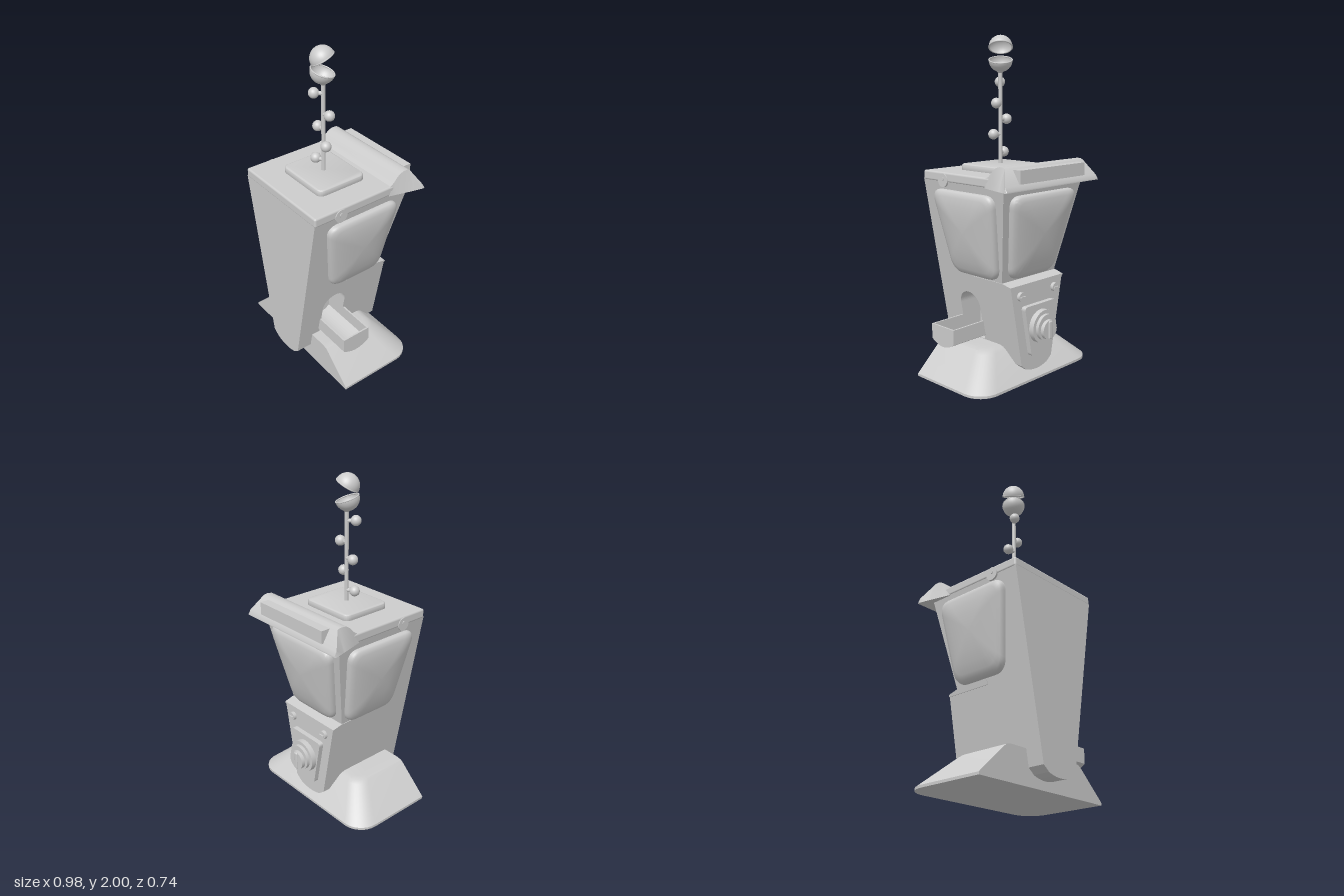
import * as THREE from 'three';
import { toCreasedNormals } from 'three/addons/utils/BufferGeometryUtils.js';
import { RoundedBoxGeometry } from 'three/addons/geometries/RoundedBoxGeometry.js';

const mat = new THREE.MeshStandardMaterial({ color: 0xcccccc });
const thin = new THREE.MeshStandardMaterial({ color: 0xcccccc, side: THREE.DoubleSide });
const V = (x, y, z) => new THREE.Vector3(x, y, z);

// Half width of the tapered body, and its sloping rear face, at height y
const halfW = y => 0.13 + (y - 0.1) * 0.189;
const rearZ = y => -0.17 - (y - 0.58) * 0.207;

// Skin closed rings of points, cap both ends, and face outward
function loft(rings, crease = 0.5) {
  const n = rings[0].length, pos = [], idx = [];
  rings.forEach(r => r.forEach(p => pos.push(p.x, p.y, p.z)));
  for (let i = 0; i < rings.length - 1; i++)
    for (let j = 0; j < n; j++) {
      const a = i * n + j, b = i * n + (j + 1) % n;
      idx.push(a, b, b + n, a, b + n, a + n);
    }
  const last = (rings.length - 1) * n;
  for (let j = 1; j < n - 1; j++) idx.push(0, j + 1, j, last, last + j, last + j + 1);
  let vol = 0;
  const p = i => V(pos[3 * i], pos[3 * i + 1], pos[3 * i + 2]);
  for (let i = 0; i < idx.length; i += 3) vol += p(idx[i]).dot(p(idx[i + 1]).cross(p(idx[i + 2])));
  if (vol < 0) idx.reverse();
  const g = new THREE.BufferGeometry();
  g.setAttribute('position', new THREE.Float32BufferAttribute(pos, 3));
  g.setIndex(idx);
  g.computeVertexNormals();
  return toCreasedNormals(g, crease);
}

// Polygon with rounded corners
function roundedPoly(pts, r) {
  const s = new THREE.Shape(), P = pts.map(p => new THREE.Vector2(...p));
  P.forEach((c, i) => {
    const a = P[(i + P.length - 1) % P.length], b = P[(i + 1) % P.length];
    const s0 = c.clone().add(a.clone().sub(c).setLength(r));
    const s1 = c.clone().add(b.clone().sub(c).setLength(r));
    i ? s.lineTo(s0.x, s0.y) : s.moveTo(s0.x, s0.y);
    s.quadraticCurveTo(c.x, c.y, s1.x, s1.y);
  });
  s.closePath();
  return s;
}

export function createModel() {
  const model = new THREE.Group();
  const add = (name, geo, x = 0, y = 0, z = 0, m = mat) => {
    const mesh = new THREE.Mesh(geo, m);
    mesh.name = name;
    mesh.position.set(x, y, z);
    model.add(mesh);
    return mesh;
  };
  const box = (name, w, h, d, x, y, z) => add(name, new THREE.BoxGeometry(w, h, d), x, y, z);
  const poly = pts => new THREE.Shape(pts.map(p => new THREE.Vector2(...p)));

  // Flared foot with rounded rear corners
  const footRing = ([y, hw, zb, r]) => {
    const half = [V(hw, y, 0.27)];
    for (let i = 0; i <= 8; i++) {
      const a = i / 8 * Math.PI / 2;
      half.push(V(hw - r + r * Math.cos(a), y, zb + r - r * Math.sin(a)));
    }
    return [...half, ...half.slice().reverse().map(p => V(-p.x, y, p.z))];
  };
  add('foot', loft([[0, 0.49, -0.27, 0.13], [0.015, 0.49, -0.27, 0.13], [0.175, 0.315, -0.125, 0.09],
    [0.19, 0.295, -0.105, 0.08], [0.197, 0.265, -0.08, 0.07]].map(footRing), 0.4));

  // Arched chute opening
  const arch = (Path, hw, top) => {
    const p = new Path();
    p.moveTo(0.13 - hw, 0.2).lineTo(0.13 + hw, 0.2).lineTo(0.13 + hw, top - hw);
    p.absarc(0.13, top - hw, hw, 0, Math.PI, false);
    p.lineTo(0.13 - hw, 0.2);
    return p;
  };

  // Body side walls, leaning with the taper
  const profile = [[0.37, 0.1], [0.37, 1.17], [-0.292, 1.17], [-0.17, 0.58], [-0.24, 0.58], [-0.24, 0.1]];
  for (const s of [1, -1]) {
    const shape = poly(profile);
    if (s > 0) shape.holes.push(arch(THREE.Path, 0.085, 0.49));
    const g = new THREE.ShapeGeometry(shape, 16), p = g.attributes.position;
    for (let i = 0; i < p.count; i++) p.setXYZ(i, s * halfW(p.getY(i)), p.getY(i), p.getX(i));
    if (s > 0) g.setIndex([...g.index.array].reverse());
    g.computeVertexNormals();
    add(s > 0 ? 'leftWall' : 'rightWall', g, 0, 0, 0, thin);
  }

  // Front and rear walls: flat strips between two heights
  const wall = (name, y0, z0, y1, z1, front) => {
    const a = halfW(y0), b = halfW(y1), g = new THREE.BufferGeometry();
    g.setAttribute('position', new THREE.Float32BufferAttribute([-a, y0, z0, a, y0, z0, b, y1, z1, -b, y1, z1], 3));
    g.setIndex(front ? [0, 1, 2, 0, 2, 3] : [2, 1, 0, 3, 2, 0]);
    g.computeVertexNormals();
    add(name, g, 0, 0, 0, thin);
  };
  wall('frontWall', 0.1, 0.37, 1.17, 0.37, true);
  wall('rearLowerWall', 0.1, -0.24, 0.58, -0.24, false);
  wall('rearUpperWall', 0.58, -0.17, 1.17, rearZ(1.17), false);
  const keel = new THREE.Shape();
  keel.moveTo(0.13, 0.1).lineTo(-0.13, 0.1).lineTo(-0.09, 0.068);
  keel.quadraticCurveTo(0, 0.034, 0.09, 0.068);
  add('roundedBottom', new THREE.ExtrudeGeometry(keel, { depth: 0.61, bevelEnabled: false }), 0, 0, -0.24);

  // Ledge over the lower housing
  const ledgeRing = (y, z0) => [V(-halfW(y) - 0.004, y, z0), V(halfW(y) + 0.004, y, z0),
    V(halfW(y) + 0.004, y, 0.06), V(-halfW(y) - 0.004, y, 0.06)];
  add('ledge', loft([ledgeRing(0.578, -0.242), ledgeRing(0.59, -0.242), ledgeRing(0.605, -0.18)], 0.2));

  // Domed windows: shrinking outline rings that rise from the wall
  const dome = (name, corners, place) => {
    const pts = roundedPoly(corners, 0.075).getPoints(8).slice(0, -1);
    const cx = corners.reduce((t, c) => t + c[0], 0) / 4, cy = 0.88;
    const rings = [[1, -0.01], [1, 0.012], [0.985, 0.024], [0.95, 0.034], [0.85, 0.044],
      [0.65, 0.055], [0.4, 0.063], [0.15, 0.066], [0.02, 0.067]];
    add(name, loft(rings.map(([k, h]) => pts.map(p => place(cx + (p.x - cx) * k, cy + (p.y - cy) * k, h))), 0.7));
  };
  const sideWin = [[0.285, 1.12], [-0.22, 1.12], [-0.16, 0.615], [0.2, 0.615]];
  dome('leftWindow', sideWin, (u, v, h) => V(halfW(v) + h, v, u));
  dome('rightWindow', sideWin, (u, v, h) => V(-halfW(v) - h, v, u));
  dome('rearWindow', [[0.275, 1.12], [-0.275, 1.12], [-0.18, 0.615], [0.18, 0.615]],
    (u, v, h) => V(u, v, rearZ(v) - h));

  // Recess behind the arch, trimmed to the leaning wall
  const frame = arch(THREE.Shape, 0.091, 0.496);
  frame.holes.push(arch(THREE.Path, 0.085, 0.49));
  const tunnel = new THREE.ExtrudeGeometry(frame, { depth: 1, bevelEnabled: false, curveSegments: 16 });
  const tp = tunnel.attributes.position;
  for (let i = 0; i < tp.count; i++) {
    const y = tp.getY(i);
    tp.setXYZ(i, tp.getZ(i) > 0.5 ? halfW(y) - 0.001 : 0.02, y, tp.getX(i));
  }
  tunnel.computeVertexNormals();
  add('archRecess', tunnel, 0, 0, 0, thin);
  box('recessBack', 0.01, 0.3, 0.18, 0.02, 0.345, 0.13);

  // Chute tray: round-bottomed trough with an end wall
  const trough = new THREE.Shape();
  trough.moveTo(-0.095, 0.32).lineTo(-0.095, 0.23).quadraticCurveTo(0, 0.165, 0.095, 0.23);
  trough.lineTo(0.095, 0.32);
  const endShape = trough.clone();
  trough.lineTo(0.085, 0.32).lineTo(0.085, 0.237).quadraticCurveTo(0, 0.175, -0.085, 0.237);
  trough.lineTo(-0.085, 0.32);
  const along = (shape, d) => new THREE.ExtrudeGeometry(shape, { depth: d, bevelEnabled: false }).rotateY(Math.PI / 2);
  add('chuteTray', along(trough, 0.385), 0.025, 0, 0.13);
  add('chuteEnd', along(endShape, 0.01), 0.402, 0, 0.13);

  // Lid, hinge bosses and top plate
  add('lid', new RoundedBoxGeometry(0.67, 0.057, 0.66, 3, 0.012), 0, 1.19, 0.04);
  for (const s of [1, -1]) {
    add('hingeBoss', new THREE.CylinderGeometry(0.04, 0.04, 0.012, 24).rotateZ(Math.PI / 2), s * 0.334, 1.172, 0.195);
    add('hingePin', new THREE.CylinderGeometry(0.012, 0.012, 0.02, 16).rotateZ(Math.PI / 2), s * 0.334, 1.18, 0.195);
  }
  const plate = new THREE.ExtrudeGeometry(roundedPoly([[-0.17, -0.15], [0.17, -0.15], [0.17, 0.15], [-0.17, 0.15]], 0.03),
    { depth: 0.025, bevelSize: 0.012, bevelThickness: 0.012, bevelSegments: 4 }).rotateX(-Math.PI / 2);
  add('topPlate', toCreasedNormals(plate, 0.6), 0, 1.218, 0.06);

  // Rear hood flaring out over the rear window
  const hood = [[-0.15, 1.215], [-0.17, 1.222], [-0.19, 1.24], [-0.21, 1.263], [-0.235, 1.28], [-0.26, 1.286],
    [-0.285, 1.285], [-0.3, 1.278], [-0.355, 1.19], [-0.37, 1.168]].map(([z, top]) => {
    const wb = 0.335 + 0.055 * Math.min(1, (-0.15 - z) / 0.2);
    const wt = z < -0.32 ? wb - 0.005 : 0.33;
    return [V(-wb, 1.16, z), V(-wt, top, z), V(wt, top, z), V(wb, 1.16, z)];
  });
  add('hood', loft(hood, 0.6));
  box('hoodBar', 0.545, 0.075, 0.065, 0, 1.233, -0.328);

  // Coin mechanism: plate, stepped dial, handle and screws
  const coin = roundedPoly([[-0.135, 0.46], [-0.075, 0.15], [0.075, 0.15], [0.135, 0.46]], 0.025);
  add('coinPlate', new THREE.ExtrudeGeometry(coin, { depth: 0.03, bevelEnabled: false }), 0, 0, -0.27);
  const disc = (name, r, d, x, y, z) =>
    add(name, new THREE.CylinderGeometry(r, r, d, 32).rotateX(Math.PI / 2), x, y, z);
  disc('dialBase', 0.1, 0.035, 0, 0.325, -0.285);
  disc('dialRing', 0.078, 0.025, 0, 0.325, -0.31);
  disc('dialKnob', 0.058, 0.03, 0, 0.315, -0.33);
  add('dialHandle', new RoundedBoxGeometry(0.03, 0.11, 0.035, 2, 0.008), 0, 0.315, -0.335);
  for (const s of [1, -1]) {
    disc('screw', 0.026, 0.02, s * 0.145, 0.525, -0.25);
    box('screwRib', 0.036, 0.008, 0.01, s * 0.145, 0.525, -0.263);
  }

  // Pole with small balls on stubs
  add('pole', new THREE.CylinderGeometry(0.012, 0.012, 0.56, 16), 0, 1.52, 0.06);
  for (const [x, y, z] of [[-0.048, 1.32, 0.08], [0.043, 1.428, 0.075], [-0.052, 1.515, 0.06],
    [0.043, 1.61, 0.05], [-0.035, 1.732, 0.098]]) {
    add('ball', new THREE.SphereGeometry(0.031, 24, 16), x, y, z);
    const path = new THREE.LineCurve3(V(0, y, 0.06), V(x, y, z));
    add('ballStub', new THREE.TubeGeometry(path, 1, 0.012, 10));
  }

  // Open capsule: two tilted half shells
  const axis = V(1, 0, 1).normalize();
  const shell = (name, y, start, tilt) => {
    const half = new THREE.Group();
    half.name = name;
    half.add(new THREE.Mesh(new THREE.SphereGeometry(0.07, 32, 12, 0, Math.PI * 2, start, Math.PI / 2), thin));
    half.add(new THREE.Mesh(new THREE.TorusGeometry(0.068, 0.004, 8, 32).rotateX(Math.PI / 2), mat));
    half.children[0].name = 'shell';
    half.children[1].name = 'rim';
    half.position.set(-0.003, y, 0.06);
    half.quaternion.setFromAxisAngle(axis, tilt);
    model.add(half);
  };
  shell('capsuleTop', 1.93, 0, 0.52);
  shell('capsuleBottom', 1.858, Math.PI / 2, -0.33);
  add('capsuleCollar', new THREE.CylinderGeometry(0.03, 0.014, 0.02, 20), 0, 1.793, 0.06);
  return model;
}
